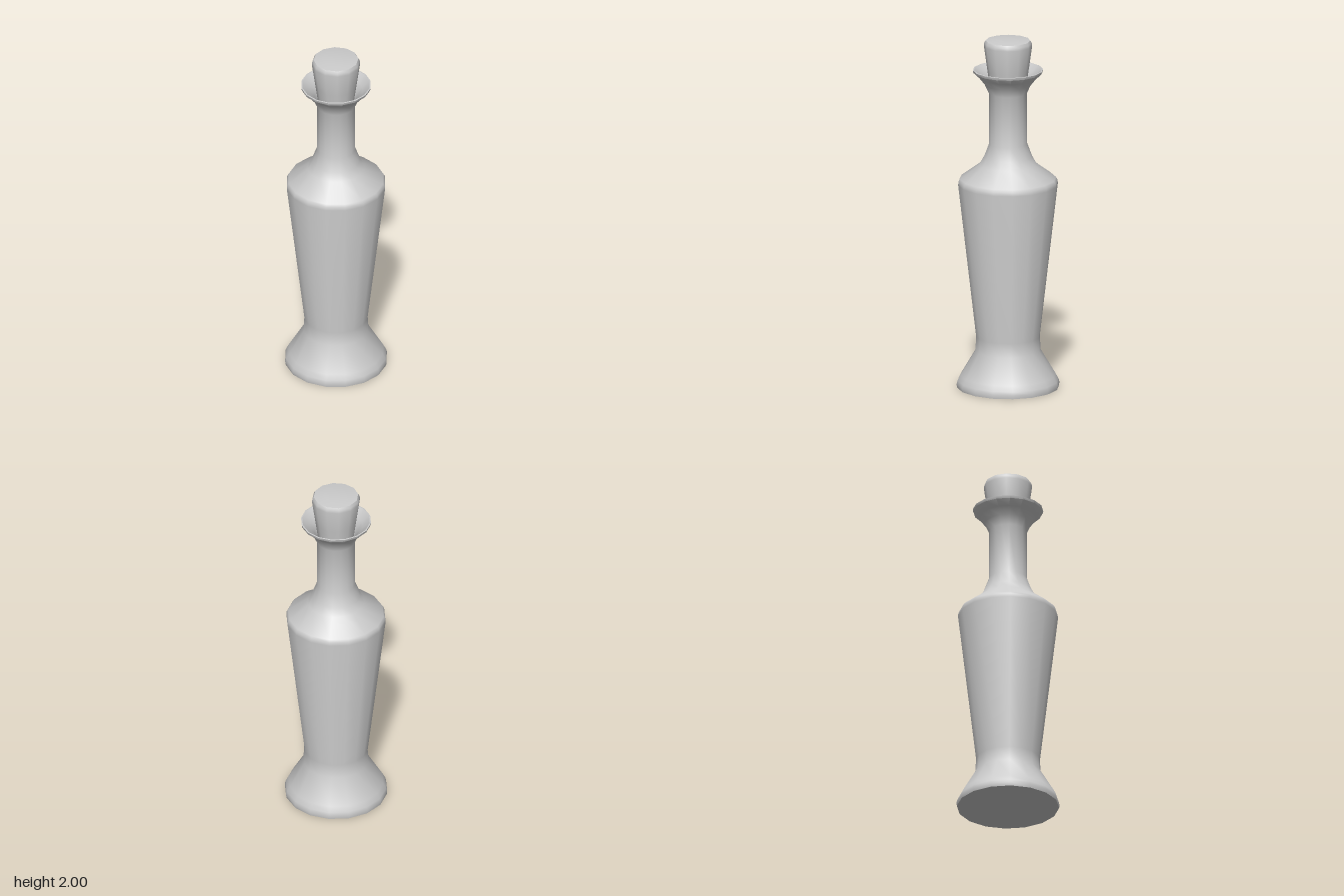
import * as THREE from 'three';
import { toCreasedNormals } from 'three/addons/utils/BufferGeometryUtils.js';

// Lathe a [radius, height] profile, keeping hard edges sharp
function turned(name, profile, sides) {
  const points = profile.map(([r, y]) => new THREE.Vector2(r, y));
  const geometry = toCreasedNormals(new THREE.LatheGeometry(points, sides), 0.68);
  const mesh = new THREE.Mesh(geometry, new THREE.MeshStandardMaterial({ color: 0xcccccc }));
  mesh.name = name;
  return mesh;
}

export function createModel() {
  const model = new THREE.Group();
  model.name = 'stopperedBottle';

  model.add(turned('bottle', [
    // flat underside and flared foot
    [0, 0], [0.285, 0], [0.288, 0.02], [0.282, 0.04], [0.266, 0.07], [0.183, 0.21],
    // waist, tapered body and shoulder
    [0.178, 0.29], [0.279, 1.165], [0.277, 1.185], [0.268, 1.2], [0.16, 1.28], [0.135, 1.325],
    // neck and flared lip
    [0.107, 1.4], [0.107, 1.69], [0.13, 1.74], [0.16, 1.778], [0.194, 1.81], [0.197, 1.824],
    // inside of the lip and neck
    [0.19, 1.825], [0.15, 1.79], [0.12, 1.755], [0.098, 1.69], [0.09, 1.62], [0, 1.62],
  ], 16));

  // Tapered stopper with a bevelled top
  model.add(turned('stopper', [
    [0, 1.64], [0.09, 1.64], [0.115, 1.82], [0.135, 1.962], [0.133, 1.978],
    [0.125, 1.992], [0.07, 1.999], [0, 2],
  ], 12));

  return model;
}
